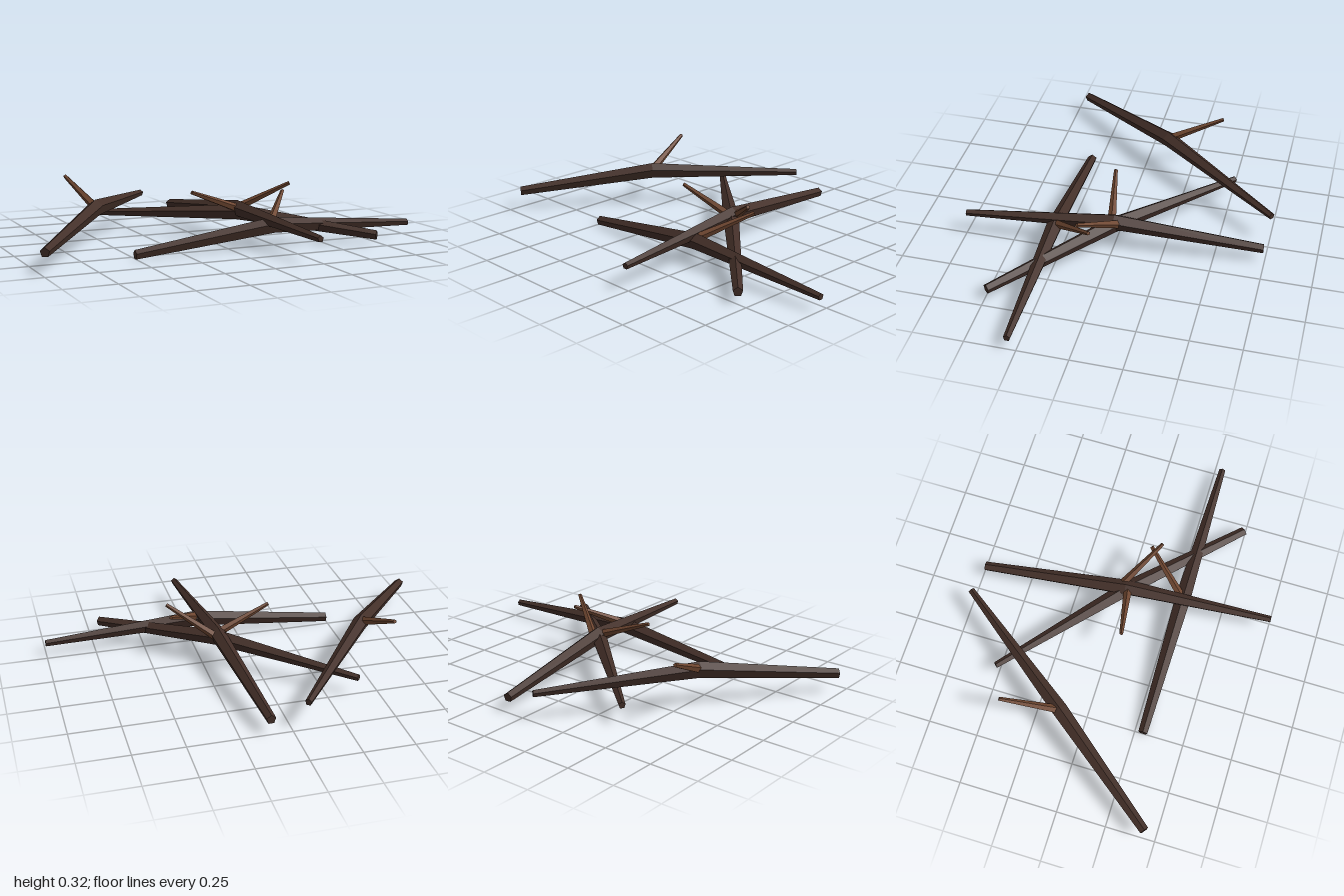
import * as THREE from 'three';

const SIDES = 5;

// Tapered faceted branch: rings of given radius lofted along a path, capped at both ends
function branch(points, radii) {
  const pts = points.map((p) => new THREE.Vector3(...p));
  const dir = pts[pts.length - 1].clone().sub(pts[0]).normalize();
  const side = new THREE.Vector3().crossVectors(dir, new THREE.Vector3(0, 1, 0)).normalize();
  const up = new THREE.Vector3().crossVectors(side, dir);
  const pos = [];
  pts.forEach((p, i) => {
    for (let k = 0; k < SIDES; k++) {
      const a = Math.PI / 2 + (k / SIDES) * Math.PI * 2;
      const v = p.clone()
        .addScaledVector(side, Math.cos(a) * radii[i])
        .addScaledVector(up, Math.sin(a) * radii[i]);
      pos.push(v.x, v.y, v.z);
    }
  });
  const idx = [];
  const last = (pts.length - 1) * SIDES;
  // Long side faces
  for (let i = 0; i < pts.length - 1; i++) {
    for (let k = 0; k < SIDES; k++) {
      const a = i * SIDES + k, b = i * SIDES + ((k + 1) % SIDES);
      idx.push(a, a + SIDES, b, b, a + SIDES, b + SIDES);
    }
  }
  // End caps
  for (let k = 1; k < SIDES - 1; k++) {
    idx.push(0, k, k + 1, last, last + k + 1, last + k);
  }
  const indexed = new THREE.BufferGeometry();
  indexed.setAttribute('position', new THREE.Float32BufferAttribute(pos, 3));
  indexed.setIndex(idx);
  const flat = indexed.toNonIndexed();
  flat.computeVertexNormals();
  return flat;
}

export function createModel() {
  const group = new THREE.Group();
  const bark = new THREE.MeshStandardMaterial({ color: 0x432f28 });
  bark.name = 'dark bark';
  const wood = new THREE.MeshStandardMaterial({ color: 0x6e4630 });
  wood.name = 'light twig wood';

  // Each stick runs thick end, bend, thin end; its twig runs base, tip
  const sticks = [
    { name: 'front', path: [[-0.5, 0.022, 0.292], [0.22, 0.11, 0.292], [1, 0.07, 0.29]],
      twig: [[0.21, 0.12, 0.29], [0.39, 0.24, 0.07]] },
    { name: 'upright', path: [[0.102, 0.075, -0.74], [0.17, 0.155, 0], [0.232, 0.12, 0.75]],
      twig: [[0.18, 0.15, 0.01], [-0.11, 0.26, 0.06]] },
    { name: 'diagonal', path: [[0.693, 0.058, 0.493], [0.17, 0.135, 0.005], [-0.4, 0.095, -0.51]],
      twig: [[0.16, 0.14, -0.04], [0.4, 0.287, 0.125]] },
    { name: 'outer', path: [[-0.98, 0.1, 0.44], [-0.55, 0.187, -0.12], [-0.07, 0.145, -0.75]],
      twig: [[-0.55, 0.19, -0.12], [-0.615, 0.313, -0.4]] },
  ];

  for (const s of sticks) {
    const stick = new THREE.Mesh(branch(s.path, [0.024, 0.041, 0.017]), bark);
    stick.name = s.name + 'Stick';
    const twig = new THREE.Mesh(branch(s.twig, [0.023, 0.01]), wood);
    twig.name = s.name + 'Twig';
    group.add(stick, twig);
  }
  return group;
}
